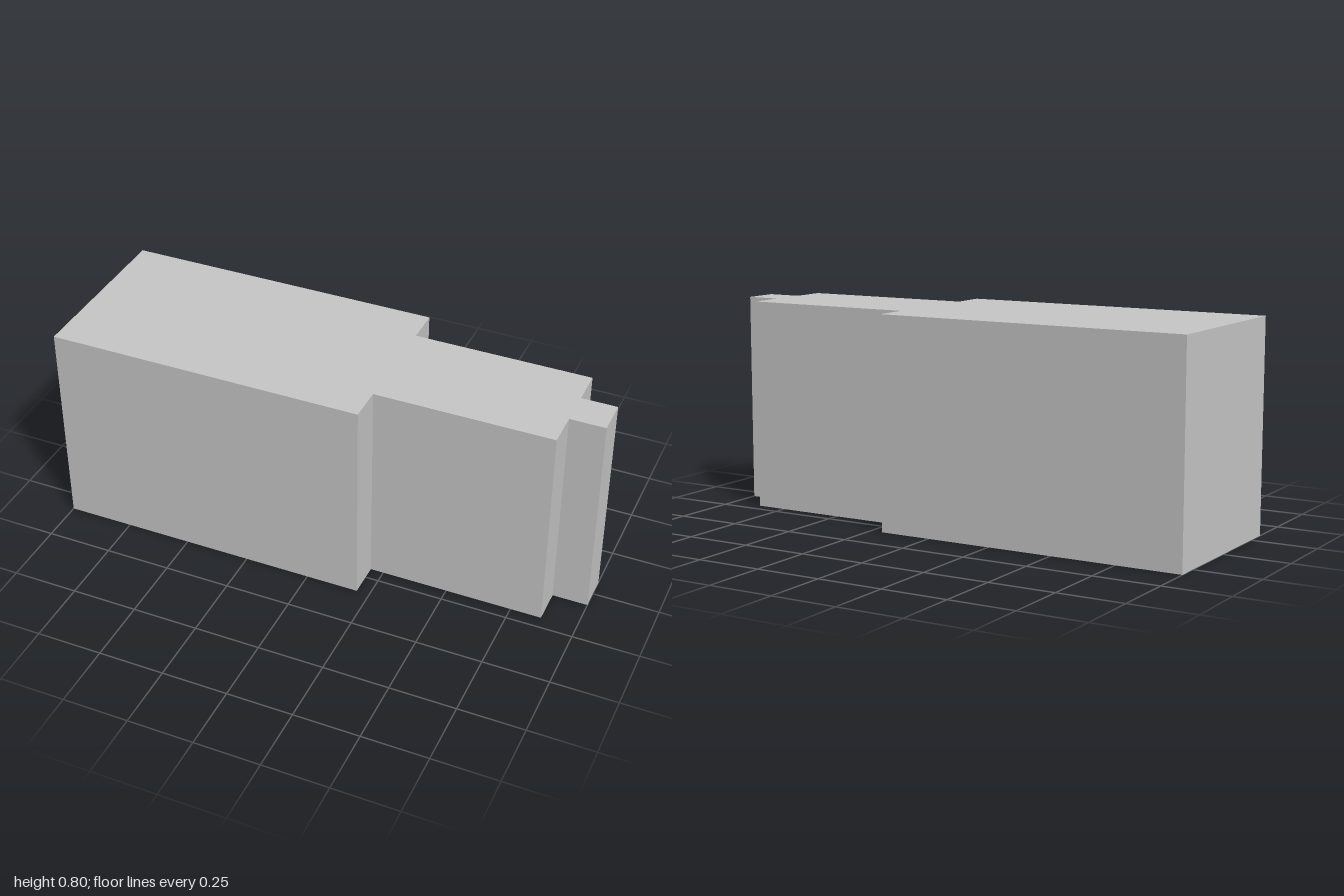
import * as THREE from 'three';

export function createModel() {
  const group = new THREE.Group();
  group.name = 'steppedBlock';
  const lightGrey = new THREE.MeshStandardMaterial({ color: 0xc8c8c8 });
  lightGrey.name = 'light grey';

  // Half of the stepped plan outline (x, half depth), mirrored about z = 0
  const half = [
    [-1, 0.333], [0.2, 0.333],      // wide body
    [0.2, 0.2], [0.867, 0.2],       // narrower neck
    [0.867, 0.067], [1, 0.067],     // end tongue
  ];
  const outline = [
    ...half.map(([x, d]) => new THREE.Vector2(x, -d)),
    ...half.slice().reverse().map(([x, d]) => new THREE.Vector2(x, d)),
  ];

  // Raise the plan into one solid standing on the ground
  const geometry = new THREE.ExtrudeGeometry(new THREE.Shape(outline), {
    depth: 0.8,
    bevelEnabled: false,
  });
  geometry.rotateX(-Math.PI / 2);

  const body = new THREE.Mesh(geometry, lightGrey);
  body.name = 'steppedBody';
  group.add(body);
  return group;
}
